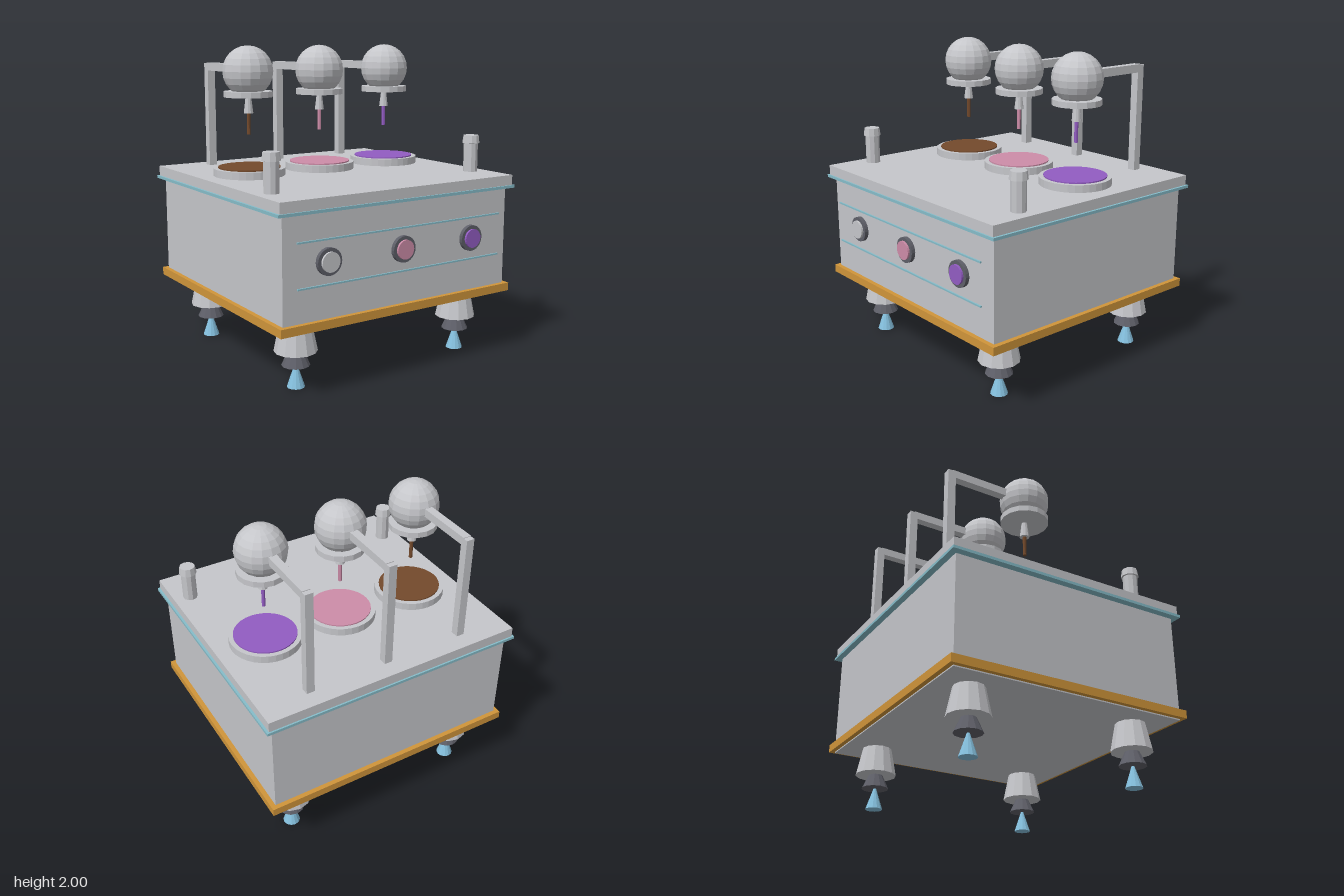
import * as THREE from 'three';

const mat = (name, color, flatShading = true) => {
  const m = new THREE.MeshStandardMaterial({ color, flatShading });
  m.name = name;
  return m;
};

export function createModel() {
  const model = new THREE.Group();
  model.name = 'dispenser';
  const grey = mat('light grey', 0xc5c6ca);
  const dark = mat('dark grey', 0x5e5f68);
  const orange = mat('orange', 0xd0953a);
  const teal = mat('teal', 0x86bcc9);
  const blue = mat('flame blue', 0x85c0de);
  const brown = mat('brown', 0x744a2c);
  const pink = mat('pink', 0xcd8ca8);
  const purple = mat('purple', 0x925cc2);

  const add = (name, geo, material, x = 0, y = 0, z = 0, parent = model) => {
    const mesh = new THREE.Mesh(geo, material);
    mesh.name = name;
    mesh.position.set(x, y, z);
    parent.add(mesh);
    return mesh;
  };
  // box spanning y0..y1, centred on x and z
  const slab = (name, w, y0, y1, d, material) =>
    add(name, new THREE.BoxGeometry(w, y1 - y0, d), material, 0, (y0 + y1) / 2, 0);
  // cylinder or cone spanning y0..y1
  const cyl = (name, rTop, rBottom, y0, y1, sides, material, x, z, parent) =>
    add(name, new THREE.CylinderGeometry(rTop, rBottom, y1 - y0, sides), material, x, (y0 + y1) / 2, z, parent);

  // Cabinet
  slab('body', 1.67, 0.405, 1.1, 1.565, grey);
  slab('baseTrim', 1.73, 0.413, 0.465, 1.625, orange);
  slab('upperTrim', 1.76, 1.097, 1.115, 1.645, teal);
  slab('top', 1.73, 1.115, 1.18, 1.625, grey);
  for (const y of [0.675, 0.94])
    add('frontStripe', new THREE.BoxGeometry(1.51, 0.01, 0.01), teal, 0, y, 0.81);

  // Three stations: pot, arm, ball, nozzle and front button
  const stations = [
    [-0.535, brown, grey],
    [0, pink, pink],
    [0.535, purple, purple],
  ];
  const z = -0.13;
  for (const [x, colour, buttonColour] of stations) {
    const station = new THREE.Group();
    station.name = 'station';
    station.position.x = x;
    model.add(station);

    cyl('pot', 0.23, 0.23, 1.18, 1.228, 32, grey, 0, z, station);
    cyl('potFilling', 0.2, 0.2, 1.228, 1.236, 32, colour, 0, z, station);

    add('post', new THREE.BoxGeometry(0.053, 0.695, 0.053), grey, 0, 1.5275, -0.677, station);
    add('arm', new THREE.BoxGeometry(0.053, 0.053, 0.52), grey, 0, 1.853, -0.41, station);

    add('ball', new THREE.SphereGeometry(0.161, 16, 12), grey, 0, 1.839, z, station);
    cyl('ballPlate', 0.156, 0.156, 1.678, 1.715, 16, grey, 0, z, station);
    cyl('nozzle', 0.018, 0.031, 1.575, 1.68, 10, grey, 0, z, station);
    cyl('stream', 0.012, 0.012, 1.44, 1.58, 8, colour, 0, z, station);

    const button = new THREE.Group();
    button.name = 'button';
    button.position.set(0, 0.805, 0);
    button.rotation.x = Math.PI / 2;
    station.add(button);
    cyl('buttonRim', 0.082, 0.082, 0.78, 0.808, 24, dark, 0, 0, button);
    cyl('buttonCap', 0.06, 0.06, 0.8, 0.822, 24, buttonColour, 0, 0, button);
  }

  // Front corner pins and the four thruster feet
  const pinProfile = [[0, 0], [0.047, 0], [0.047, 0.185], [0.057, 0.187], [0.05, 0.238], [0, 0.238]]
    .map(([r, y]) => new THREE.Vector2(r, y));
  for (const side of [-1, 1]) {
    add('cornerPin', new THREE.LatheGeometry(pinProfile, 10), grey, side * 0.755, 1.18, 0.535);
    for (const end of [-1, 1]) {
      const foot = new THREE.Group();
      foot.name = 'foot';
      foot.position.set(side * 0.622, 0, end * 0.568);
      model.add(foot);
      cyl('footCone', 0.094, 0.132, 0.226, 0.41, 12, grey, 0, 0, foot);
      cyl('footNozzle', 0.045, 0.087, 0.137, 0.228, 12, dark, 0, 0, foot);
      cyl('flame', 0.008, 0.055, 0, 0.14, 12, blue, 0, 0, foot);
    }
  }
  return model;
}
